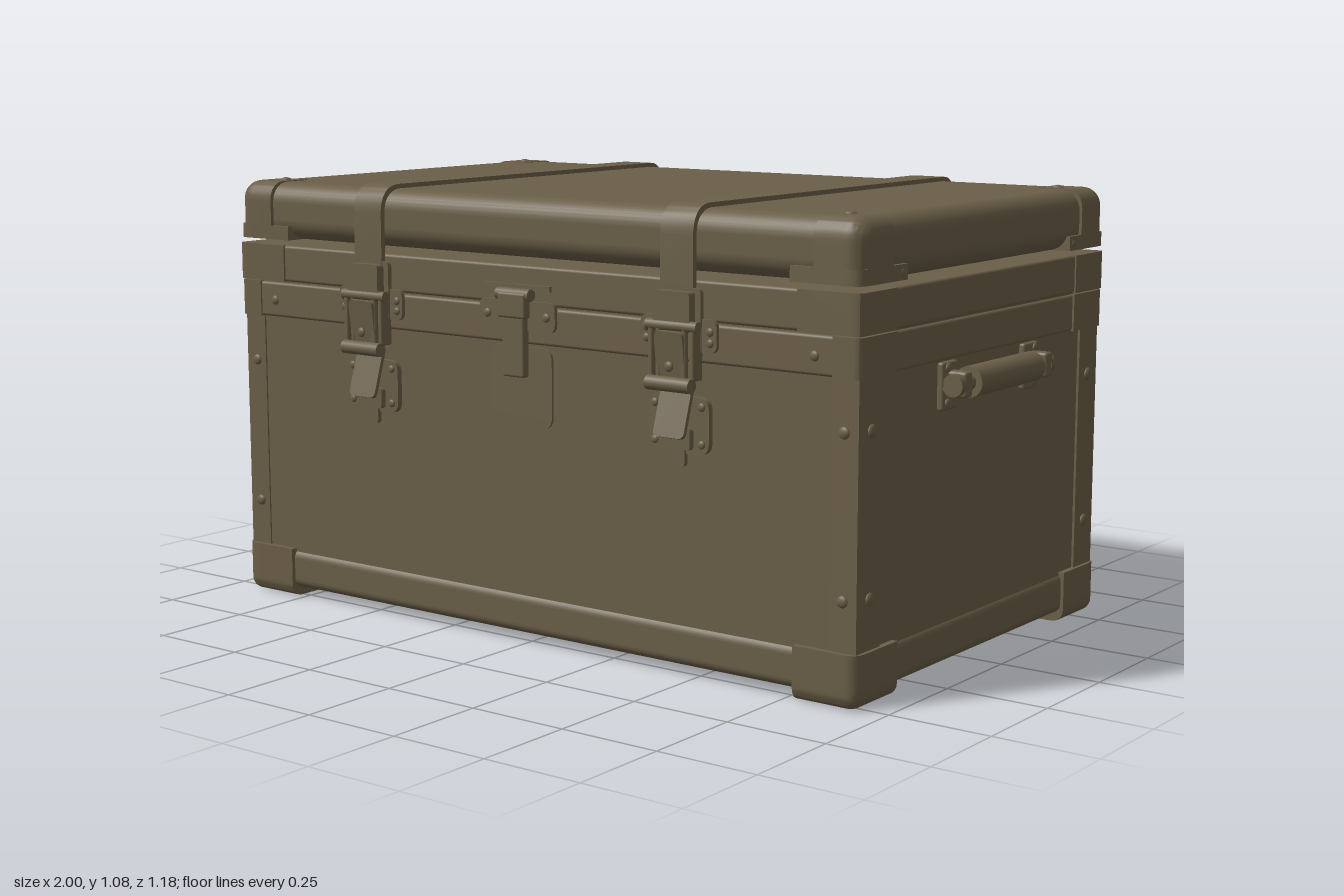
import * as THREE from 'three';
import { toCreasedNormals } from 'three/addons/utils/BufferGeometryUtils.js';
import { RoundedBoxGeometry } from 'three/addons/geometries/RoundedBoxGeometry.js';

const olive = new THREE.MeshStandardMaterial({ color: 0x6b5f48 });
olive.name = 'olive paint';

function add(parent, name, geo, x = 0, y = 0, z = 0) {
  const m = new THREE.Mesh(geo, olive);
  m.name = name;
  m.position.set(x, y, z);
  parent.add(m);
  return m;
}

// Box given by its limits, with softly rounded edges when r > 0
function span(parent, name, x0, x1, y0, y1, z0, z1, r = 0) {
  const w = Math.abs(x1 - x0), h = Math.abs(y1 - y0), d = Math.abs(z1 - z0);
  const geo = r ? new RoundedBoxGeometry(w, h, d, 4, r) : new THREE.BoxGeometry(w, h, d);
  return add(parent, name, geo, (x0 + x1) / 2, (y0 + y1) / 2, (z0 + z1) / 2);
}

// Block rounded only towards the outer side of each axis (sign 0 = keep square)
function cornerGeo(w, h, d, r, signs) {
  const geo = new THREE.BoxGeometry(w, h, d, 12, 12, 12);
  const p = geo.attributes.position, half = [w / 2, h / 2, d / 2];
  for (let i = 0; i < p.count; i++) {
    const v = [p.getX(i), p.getY(i), p.getZ(i)];
    const over = v.map((c, k) => signs[k] ? Math.max(0, c * signs[k] - (half[k] - r)) : 0);
    const len = Math.hypot(...over);
    if (!len) continue;
    const s = Math.max(...over) / len;
    const q = v.map((c, k) => c + signs[k] * over[k] * (s - 1));
    p.setXYZ(i, ...q);
  }
  return toCreasedNormals(geo, 0.6);
}

// Flat plate with rounded corners, facing +z
function plateGeo(w, h, d, r) {
  const s = new THREE.Shape(), a = w / 2, b = h / 2;
  s.moveTo(-a + r, -b);
  s.lineTo(a - r, -b); s.quadraticCurveTo(a, -b, a, -b + r);
  s.lineTo(a, b - r); s.quadraticCurveTo(a, b, a - r, b);
  s.lineTo(-a + r, b); s.quadraticCurveTo(-a, b, -a, b - r);
  s.lineTo(-a, -b + r); s.quadraticCurveTo(-a, -b, -a + r, -b);
  return new THREE.ExtrudeGeometry(s, { depth: d, bevelEnabled: false, curveSegments: 6 });
}

function rod(parent, name, r, len, axis, x, y, z) {
  const geo = new THREE.CylinderGeometry(r, r, len, 20);
  if (axis === 'x') geo.rotateZ(Math.PI / 2);
  if (axis === 'z') geo.rotateX(Math.PI / 2);
  return add(parent, name, geo, x, y, z);
}

function rivet(parent, x, y, z, axis, r = 0.012) {
  const geo = new THREE.SphereGeometry(r, 12, 8);
  const flat = { x: [0.5, 1, 1], y: [1, 0.5, 1], z: [1, 1, 0.5] }[axis];
  geo.scale(...flat);
  add(parent, 'rivet', geo, x, y, z);
}

// Strap wrapped over the lid, as a thin folded band
function strapGeo(w) {
  const s = new THREE.Shape();
  s.moveTo(0.548, 0.88); s.lineTo(0.548, 1.01);
  s.quadraticCurveTo(0.546, 1.08, 0.48, 1.08);
  s.lineTo(-0.54, 1.08);
  s.quadraticCurveTo(-0.594, 1.08, -0.595, 1.01);
  s.lineTo(-0.595, 0.93); s.lineTo(-0.582, 0.93); s.lineTo(-0.582, 1.01);
  s.quadraticCurveTo(-0.582, 1.066, -0.54, 1.066);
  s.lineTo(0.48, 1.066);
  s.quadraticCurveTo(0.534, 1.066, 0.535, 1.01);
  s.lineTo(0.535, 0.88);
  const geo = new THREE.ExtrudeGeometry(s, { depth: w, bevelEnabled: false, curveSegments: 10 });
  geo.translate(0, 0, -w / 2).rotateY(-Math.PI / 2);
  return toCreasedNormals(geo, 0.6);
}

// Toggle latch on the front face
function buildLatch(x) {
  const g = new THREE.Group();
  g.name = 'latch';
  g.position.x = x;
  add(g, 'latchFlange', plateGeo(0.21, 0.075, 0.01, 0.02), 0, 0.79, 0.532);
  add(g, 'latchPlate', plateGeo(0.13, 0.15, 0.012, 0.015), 0, 0.82, 0.535);
  add(g, 'latchHousing', plateGeo(0.1, 0.075, 0.03, 0.01), 0, 0.85, 0.54);
  rod(g, 'upperPin', 0.013, 0.14, 'x', 0, 0.81, 0.562);
  for (const s of [-1, 1]) {
    span(g, 'latchCheek', s * 0.05, s * 0.064, 0.69, 0.82, 0.535, 0.572, 0.005);
    rivet(g, s * 0.088, 0.80, 0.543, 'z', 0.01);
    rivet(g, s * 0.088, 0.775, 0.543, 'z', 0.01);
    rivet(g, s * 0.065, 0.63, 0.542, 'z', 0.01);
    rivet(g, s * 0.065, 0.545, 0.542, 'z', 0.01);
    rod(g, 'latchLink', 0.008, 0.14, 'y', s * 0.035, 0.74, 0.565);
  }
  rod(g, 'lowerPin', 0.017, 0.12, 'x', 0, 0.68, 0.573);
  const lever = add(g, 'latchLever', plateGeo(0.078, 0.13, 0.012, 0.015), 0, 0.735, 0.562);
  lever.rotation.x = 0.12;
  rivet(g, 0, 0.72, 0.577, 'z', 0.012);
  add(g, 'catchPlate', plateGeo(0.165, 0.13, 0.014, 0.03), 0, 0.585, 0.524);
  const arm = add(g, 'leverArm', plateGeo(0.085, 0.13, 0.01, 0.015), 0, 0.62, 0.553);
  arm.rotation.x = -0.3;
  add(g, 'catchBox', plateGeo(0.08, 0.05, 0.02, 0.01), 0, 0.555, 0.532);
  add(g, 'pullTab', plateGeo(0.04, 0.05, 0.012, 0.012), 0, 0.515, 0.532);
  return g;
}

// Carrying handle on one end
function buildHandle(s) {
  const g = new THREE.Group();
  g.name = s > 0 ? 'leftHandle' : 'rightHandle';
  rod(g, 'handleGrip', 0.036, 0.3, 'z', s * 0.964, 0.675, -0.03);
  rod(g, 'handleRod', 0.02, 0.42, 'z', s * 0.964, 0.675, -0.03);
  for (const e of [-1, 1]) {
    const z = -0.03 + e * 0.19;
    span(g, 'handlePlate', s * 0.925, s * 0.942, 0.615, 0.725, z - 0.035, z + 0.035, 0.006);
    span(g, 'handleBracket', s * 0.935, s * 0.988, 0.645, 0.705, z - 0.02, z + 0.012, 0.008);
    rod(g, 'bracketEnd', 0.026, 0.02, 'z', s * 0.964, 0.675, z + e * 0.022);
    for (const y of [0.632, 0.712]) rivet(g, s * 0.943, y, z + e * 0.014, 'x', 0.011);
  }
  return g;
}

export function createModel() {
  const model = new THREE.Group();
  model.name = 'trunk';

  // Main body, rims and lid
  span(model, 'body', -0.925, 0.925, 0.025, 0.8, -0.578, 0.523, 0.015);
  span(model, 'bottomRim', -0.932, 0.932, 0.022, 0.125, -0.585, 0.53, 0.025);
  span(model, 'lowerBand', -0.933, 0.933, 0.727, 0.816, -0.587, 0.532, 0.008);
  span(model, 'bandCore', -0.925, 0.925, 0.8, 0.83, -0.578, 0.523);
  span(model, 'upperBand', -0.935, 0.935, 0.82, 0.912, -0.589, 0.534, 0.008);
  span(model, 'lid', -0.933, 0.933, 0.926, 1.069, -0.586, 0.531, 0.05);
  span(model, 'backHingeStrip', -0.75, 0.75, 0.8, 0.84, -0.593, -0.58, 0.005);

  for (const sx of [-1, 1]) {
    for (const sz of [-1, 1]) {
      const outer = sz > 0 ? 0.54 : -0.595;
      const face = sz > 0 ? 0.53 : -0.585;
      const at = (len) => outer - sz * len / 2;

      // Caps at the bottom and lid corners
      add(model, 'footCorner', cornerGeo(0.165, 0.126, 0.172, 0.03, [sx, -1, sz]),
        sx * (0.94 - 0.0825), 0.063, at(0.172));
      add(model, 'lidCorner', cornerGeo(0.12, 0.145, 0.13, 0.045, [sx, 1, sz]),
        sx * 0.88, 0.9985, at(0.13));
      add(model, 'lidCornerFoot', cornerGeo(0.18, 0.035, 0.19, 0.03, [sx, 0, sz]),
        sx * 0.85, 0.9435, at(0.19));

      // Upright angle strips and band corners
      const endZ = sz > 0 ? 0.43 : -0.49;
      span(model, 'endStrip', sx * 0.92, sx * 0.931, 0.12, 0.73, endZ, face - sz * 0.003);
      span(model, 'faceStrip', sx * 0.865, sx * 0.931, 0.12, 0.73, face - sz * 0.012, face - sz * 0.003);
      add(model, 'lowerBandCorner', cornerGeo(0.07, 0.09, 0.15, 0.015, [sx, 0, sz]),
        sx * 0.903, 0.772, at(0.15) - sz * 0.004);
      add(model, 'upperBandCorner', cornerGeo(0.16, 0.092, 0.15, 0.015, [sx, 0, sz]),
        sx * 0.859, 0.866, at(0.15) - sz * 0.001);

      // Rivets
      for (const y of [0.24, 0.61]) {
        rivet(model, sx * 0.931, y, sz > 0 ? 0.475 : -0.535, 'x', 0.016);
        rivet(model, sx * 0.895, y, face - sz * 0.002, 'z', 0.014);
      }
      rivet(model, sx * 0.82, 0.77, face + sz * 0.002, 'z');
      rivet(model, sx * 0.938, 0.942, outer - sz * 0.17, 'x', 0.01);
      rivet(model, sx * 0.855, 1.07, sz > 0 ? 0.45 : -0.5, 'y', 0.014);
    }
    model.add(buildHandle(sx));

    // Strap and latch
    const x = sx * 0.47 - 0.005;
    add(model, 'strap', strapGeo(0.09), x);
    model.add(buildLatch(x));
  }

  // Central hasp
  const hasp = new THREE.Group();
  hasp.name = 'hasp';
  hasp.position.x = -0.005;
  add(hasp, 'haspUpperPlate', plateGeo(0.23, 0.07, 0.01, 0.02), 0, 0.795, 0.531);
  span(hasp, 'haspTopRail', -0.1, 0.1, 0.855, 0.868, 0.53, 0.542);
  add(hasp, 'haspLowerPlate', plateGeo(0.19, 0.19, 0.008, 0.03), 0, 0.625, 0.521);
  rod(hasp, 'haspHinge', 0.015, 0.1, 'x', 0, 0.845, 0.548);
  span(hasp, 'haspTongueTop', -0.042, 0.042, 0.79, 0.85, 0.54, 0.565, 0.006);
  span(hasp, 'haspTongue', -0.033, 0.033, 0.65, 0.8, 0.535, 0.558, 0.006);
  for (const s of [-1, 1]) rivet(hasp, s * 0.09, 0.795, 0.542, 'z', 0.011);
  model.add(hasp);

  return model;
}
